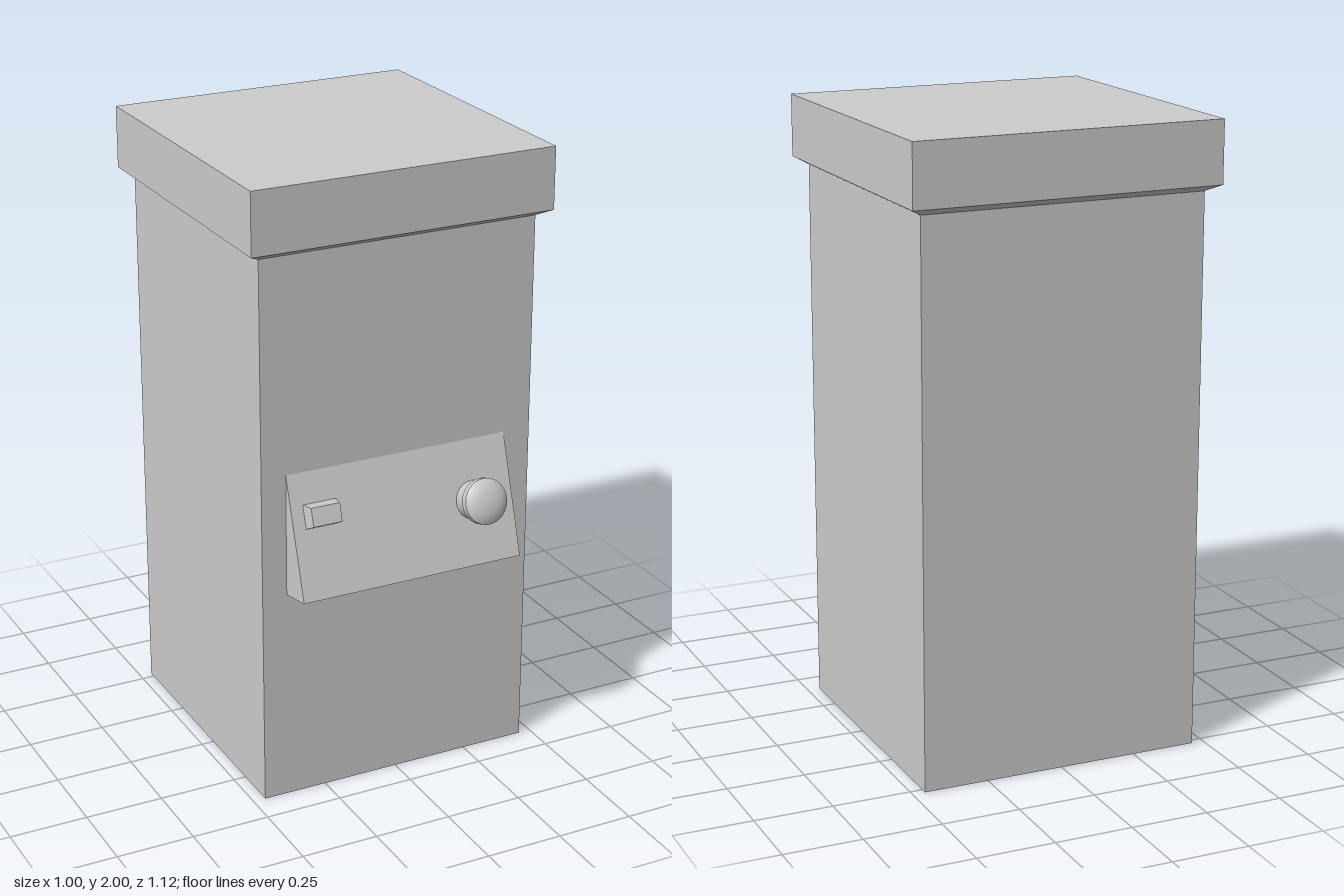
import * as THREE from 'three';

const material = new THREE.MeshStandardMaterial({ color: 0xcccccc });

function addMesh(parent, name, geometry, x, y, z) {
  const mesh = new THREE.Mesh(geometry, material);
  mesh.name = name;
  mesh.position.set(x, y, z);
  parent.add(mesh);
  return mesh;
}

// Box whose bottom and top rectangles differ in size
function taperedBox(bottomX, bottomZ, topX, topZ, height) {
  const geometry = new THREE.BoxGeometry(1, height, 1);
  const p = geometry.attributes.position;
  for (let i = 0; i < p.count; i++) {
    const top = p.getY(i) > 0;
    p.setX(i, p.getX(i) * (top ? topX : bottomX));
    p.setZ(i, p.getZ(i) * (top ? topZ : bottomZ));
  }
  geometry.computeVertexNormals();
  return geometry;
}

export function createModel() {
  const model = new THREE.Group();
  model.name = 'pedestal';
  const centreZ = -0.062;

  // Square column with an overhanging, bevelled cap
  addMesh(model, 'column', new THREE.BoxGeometry(0.92, 1.78, 0.92), 0, 0.89, centreZ);
  addMesh(model, 'capBevel', taperedBox(0.92, 0.92, 1, 1, 0.022), 0, 1.791, centreZ);
  addMesh(model, 'cap', new THREE.BoxGeometry(1, 0.198, 1), 0, 1.901, centreZ);

  // Wedge-shaped control panel, profile drawn as (z, y)
  const wedge = new THREE.Shape([
    new THREE.Vector2(0.39, 0.693),
    new THREE.Vector2(0.519, 0.717),
    new THREE.Vector2(0.398, 1.09),
    new THREE.Vector2(0.39, 1.09),
  ]);
  const panelGeometry = new THREE.ExtrudeGeometry(wedge, { depth: 0.748, bevelEnabled: false });
  const panel = addMesh(model, 'controlPanel', panelGeometry, 0.369, 0, 0);
  panel.rotation.y = -Math.PI / 2;

  // Controls stand square to the sloped face: local y is its normal
  const tilt = THREE.MathUtils.degToRad(72);

  const knob = new THREE.Group();
  knob.name = 'knob';
  knob.position.set(0.235, 0.91, 0.457);
  knob.rotation.x = tilt;
  model.add(knob);
  addMesh(knob, 'knobStem', new THREE.CylinderGeometry(0.061, 0.061, 0.06, 32), 0, 0.025, 0);
  // Separate bands keep the rim edges sharp and the dome smooth
  const bands = {
    knobUnderside: [[0, 0.048], [0.061, 0.048], [0.072, 0.057]],
    knobRim: [[0.072, 0.057], [0.072, 0.081]],
    knobDome: [[0.072, 0.081], [0.06, 0.09], [0.042, 0.097], [0.022, 0.101], [0, 0.102]],
  };
  for (const [name, points] of Object.entries(bands)) {
    const profile = points.map(([r, h]) => new THREE.Vector2(r, h));
    addMesh(knob, name, new THREE.LatheGeometry(profile, 32), 0, 0, 0);
  }

  // Small tapered push button
  const button = addMesh(model, 'button', taperedBox(0.112, 0.078, 0.096, 0.058, 0.05), -0.283, 0.967, 0.456);
  button.rotation.x = tilt;

  return model;
}
